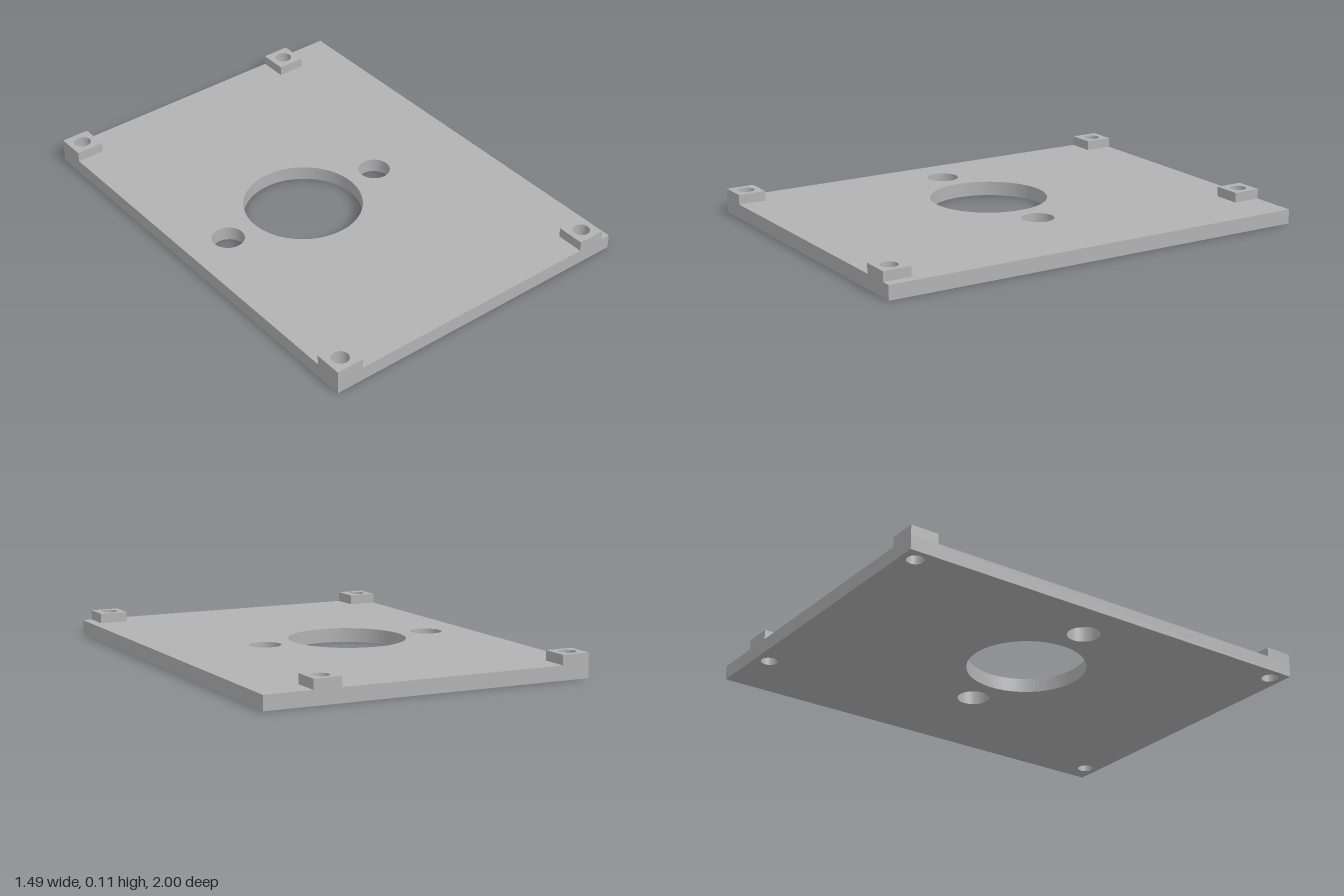
import * as THREE from 'three';

const HALF_W = 0.743, HALF_D = 1;
const PLATE_T = 0.064, PAD_T = 0.044, PAD = 0.127, SCREW_R = 0.037;

// Rectangle centred on (x, z) with round holes [x, z, radius], extruded upwards from y
function drilledSlab(name, x, z, w, d, y, thickness, holes, material) {
  const shape = new THREE.Shape([
    new THREE.Vector2(x - w / 2, -z - d / 2),
    new THREE.Vector2(x + w / 2, -z - d / 2),
    new THREE.Vector2(x + w / 2, -z + d / 2),
    new THREE.Vector2(x - w / 2, -z + d / 2),
  ]);
  for (const [hx, hz, r] of holes) {
    shape.holes.push(new THREE.Path().absarc(hx, -hz, r, 0, Math.PI * 2, true));
  }
  const geometry = new THREE.ExtrudeGeometry(shape, { depth: thickness, bevelEnabled: false, curveSegments: 48 });
  geometry.rotateX(-Math.PI / 2);
  geometry.translate(0, y, 0);
  const mesh = new THREE.Mesh(geometry, material);
  mesh.name = name;
  return mesh;
}

export function createModel() {
  const group = new THREE.Group();
  group.name = 'mountingPlate';
  const grey = new THREE.MeshStandardMaterial({ color: 0xb2b2b2 });
  grey.name = 'plainGrey';

  // Screw pads: name, centre x, centre z
  const edge = HALF_D - PAD / 2;
  const pads = [
    ['backRightPad', -HALF_W + PAD / 2, -edge],
    ['backLeftPad', 0.466, -edge],
    ['frontRightPad', -HALF_W + PAD / 2, edge],
    ['frontLeftPad', 0.636, edge],
  ];
  const screwHoles = pads.map(([, x, z]) => [x, z, SCREW_R]);

  // Base plate with the large opening, its two side holes and the screw holes
  const openings = [[-0.139, 0, 0.262], [-0.544, 0, 0.071], [0.264, 0, 0.071]];
  group.add(drilledSlab('basePlate', 0, 0, HALF_W * 2, HALF_D * 2, 0, PLATE_T,
    [...openings, ...screwHoles], grey));

  // Raised pads, drilled through
  pads.forEach(([name, x, z], i) => {
    group.add(drilledSlab(name, x, z, PAD, PAD, PLATE_T, PAD_T, [screwHoles[i]], grey));
  });
  return group;
}
